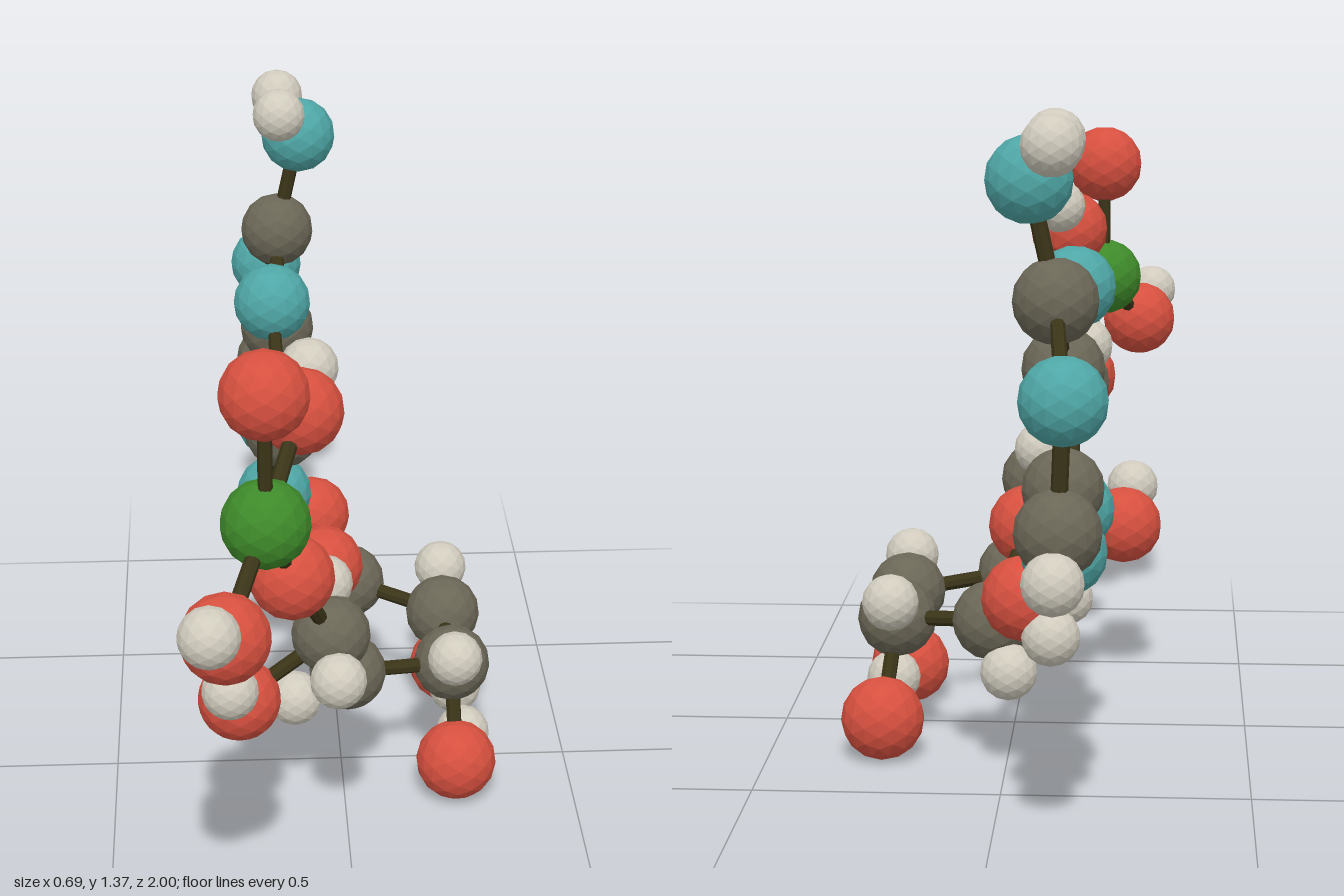
import * as THREE from 'three';

const mat = (name, color) => {
  const m = new THREE.MeshStandardMaterial({ color, flatShading: true });
  m.name = name;
  return m;
};

// element: ball radius and colour
const kinds = {
  carbon: { r: 0.083, m: mat('carbon grey', 0x6b6757) },
  oxygen: { r: 0.087, m: mat('oxygen red', 0xd6503f) },
  nitrogen: { r: 0.084, m: mat('nitrogen teal', 0x4fa6a6) },
  phosphorus: { r: 0.088, m: mat('phosphorus green', 0x3e8a2a) },
  hydrogen: { r: 0.059, m: mat('hydrogen white', 0xd0cbbd) },
};
const bondMaterial = mat('bond brown', 0x3a3418);

// atom centres, grouped by element
const atoms = {
  phosphorus: { P: [-0.174, 0.902, 0.632] },
  oxygen: {
    OTop: [-0.174, 1.166, 0.632], OUpper: [-0.1, 1.037, 0.413], OFront: [-0.255, 0.774, 0.845],
    OBridge: [-0.12, 0.695, 0.452], OSide: [-0.228, 0.366, 0.358], ORing: [-0.035, 0.457, -0.064],
    OLowFront: [0.243, 0.087, 0.16], OLowBack: [0.26, 0.087, -0.268], OBack: [-0.045, 0.394, -0.45],
  },
  carbon: {
    CArm: [-0.036, 0.484, 0.305], C4s: [0.007, 0.304, 0.143], C3s: [0.238, 0.278, 0.068],
    C2s: [0.238, 0.278, -0.168], C1s: [0.03, 0.304, -0.28],
    C8: [-0.122, 0.77, -0.096], C5: [-0.122, 0.86, -0.468], C4: [-0.122, 0.62, -0.468],
    C2: [-0.128, 0.62, -0.862], C6: [-0.115, 1.02, -0.667],
  },
  nitrogen: {
    N9: [-0.137, 0.537, -0.27], N7: [-0.137, 0.995, -0.272], N3: [-0.132, 0.538, -0.662],
    N1: [-0.137, 0.865, -0.866], NTop: [-0.065, 1.247, -0.668],
  },
  hydrogen: {
    HUpper: [-0.08, 1.096, 0.338], HFront: [-0.284, 0.831, 0.945], HSide: [-0.247, 0.438, 0.452],
    HArmA: [-0.045, 0.565, 0.23], HArmB: [-0.025, 0.427, 0.4], H4s: [-0.107, 0.245, 0.148],
    H3s: [0.237, 0.337, 0.158], H2s: [0.241, 0.337, -0.277], H1s: [-0.007, 0.21, -0.335],
    HLowFront: [0.268, 0.088, 0.042], HLowBack: [0.268, 0.088, -0.16], HBack: [-0.1, 0.33, -0.505],
    H8: [-0.15, 0.838, -0.022], H2: [-0.122, 0.544, -0.943],
    HTopA: [-0.11, 1.316, -0.595], HTopB: [-0.11, 1.316, -0.745],
  },
};

// '-' is a single bond, '=' a double bond
const bonds = [
  'P=OTop P-OUpper P-OFront P-OBridge OUpper-HUpper OFront-HFront OBridge-CArm',
  'CArm-OSide OSide-HSide CArm-HArmA CArm-HArmB CArm-C4s C4s-H4s C4s-C3s C4s-ORing ORing-C1s',
  'C3s-C2s C2s-C1s C3s-H3s C2s-H2s C3s-OLowFront C2s-OLowBack OLowFront-HLowFront',
  'OLowBack-HLowBack C1s-H1s C1s-OBack OBack-HBack C1s-N9 N9-C8 C8=N7 C8-H8 N7-C5 C5=C4',
  'C4-N9 C4-N3 N3=C2 C2-H2 C2-N1 N1=C6 C6-C5 C6-NTop NTop-HTopA NTop-HTopB',
].join(' ').split(' ');

export function createModel() {
  const model = new THREE.Group();
  model.name = 'ballAndStickMolecule';
  const balls = new THREE.Group();
  balls.name = 'atoms';
  const sticks = new THREE.Group();
  sticks.name = 'bonds';
  model.add(balls, sticks);

  // atoms as faceted balls
  const at = {};
  for (const [kind, list] of Object.entries(atoms)) {
    const ball = new THREE.IcosahedronGeometry(kinds[kind].r, 2);
    for (const [id, p] of Object.entries(list)) {
      const mesh = new THREE.Mesh(ball, kinds[kind].m);
      mesh.name = `${kind}Atom${id}`;
      mesh.position.set(...p);
      at[id] = mesh.position;
      balls.add(mesh);
    }
  }

  // bonds as thin rods between ball centres
  const up = new THREE.Vector3(0, 1, 0);
  const addRod = (a, b, shift, radius, name) => {
    const dir = b.clone().sub(a);
    const rod = new THREE.Mesh(
      new THREE.CylinderGeometry(radius, radius, dir.length(), 8, 1, true), bondMaterial);
    rod.position.copy(a).add(b).multiplyScalar(0.5).add(shift);
    rod.quaternion.setFromUnitVectors(up, dir.normalize());
    rod.name = name;
    sticks.add(rod);
  };
  for (const bond of bonds) {
    const double = bond.includes('=');
    const [a, b] = bond.split(double ? '=' : '-').map((id) => at[id]);
    if (double) {
      // the pair lies side by side in the plane of the rings
      const side = b.clone().sub(a).cross(new THREE.Vector3(1, 0, 0)).normalize();
      for (const s of [-1, 1]) addRod(a, b, side.clone().multiplyScalar(s * 0.018), 0.014, 'doubleBond');
    } else {
      addRod(a, b, new THREE.Vector3(), 0.016, 'singleBond');
    }
  }
  return model;
}
